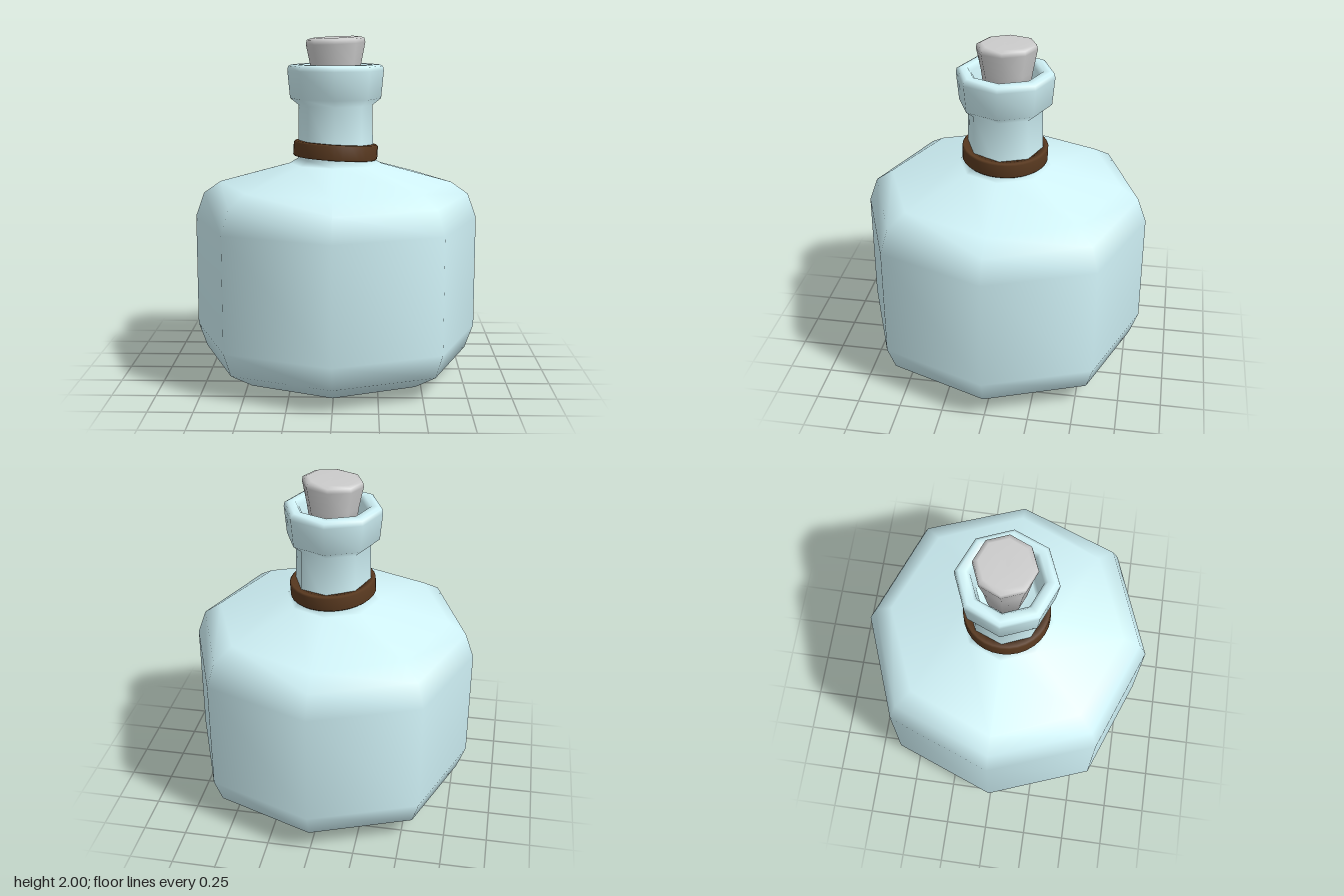
import * as THREE from 'three';

const SIDES = 8;
const lathe = (profile, sides) =>
  new THREE.LatheGeometry(profile.map(([r, y]) => new THREE.Vector2(r, y)), sides);

function part(name, geometry, color) {
  const mesh = new THREE.Mesh(geometry, new THREE.MeshStandardMaterial({ color }));
  mesh.name = name;
  return mesh;
}

export function createModel() {
  const model = new THREE.Group();
  model.name = 'corkedBottle';

  // Glass: body, shoulder, neck, rolled lip and the inside of the mouth
  const glass = lathe([
    [0, 0], [0.23, 0.003], [0.48, 0.02], [0.65, 0.05], [0.78, 0.14], [0.83, 0.28],
    [0.83, 0.94], [0.78, 1.08], [0.68, 1.15], [0.27, 1.26], [0.22, 1.29],
    [0.215, 1.6], [0.265, 1.64], [0.28, 1.8], [0.275, 1.825], [0.255, 1.835],
    [0.215, 1.835], [0.195, 1.81], [0.17, 1.66], [0.16, 1.58], [0, 1.58],
  ], SIDES);
  // Push the diagonal corners of the wide body out slightly
  const p = glass.attributes.position;
  for (let i = 0; i < p.count; i++) {
    const x = p.getX(i), z = p.getZ(i);
    if (Math.hypot(x, z) > 0.75 && Math.abs(x * z) > 0.01) {
      p.setX(i, x * 1.025);
      p.setZ(i, z * 1.025);
    }
  }
  model.add(part('glassBottle', glass, 0xd0f2f7));

  // Tilted leather band at the base of the neck
  const band = part('neckBand', lathe([
    [0.2, -0.045], [0.238, -0.045], [0.247, -0.036], [0.247, 0.036],
    [0.238, 0.045], [0.2, 0.045], [0.2, -0.045],
  ], 32), 0x5a3a20);
  band.position.y = 1.337;
  band.rotation.set(-0.035, 0, -0.06);
  model.add(band);

  // Tapered stopper with an uneven top
  const cork = lathe([
    [0, 1.6], [0.115, 1.6], [0.147, 1.83], [0.172, 1.955],
    [0.167, 1.98], [0.14, 1.99], [0, 1.988],
  ], SIDES);
  const c = cork.attributes.position;
  for (let i = 0; i < c.count; i++) {
    if (c.getY(i) > 1.9) c.setY(i, c.getY(i) + 0.04 * c.getX(i) - 0.03 * c.getZ(i));
  }
  const stopper = part('corkStopper', cork, 0xcccccc);
  stopper.position.z = -0.008;
  model.add(stopper);

  return model;
}
